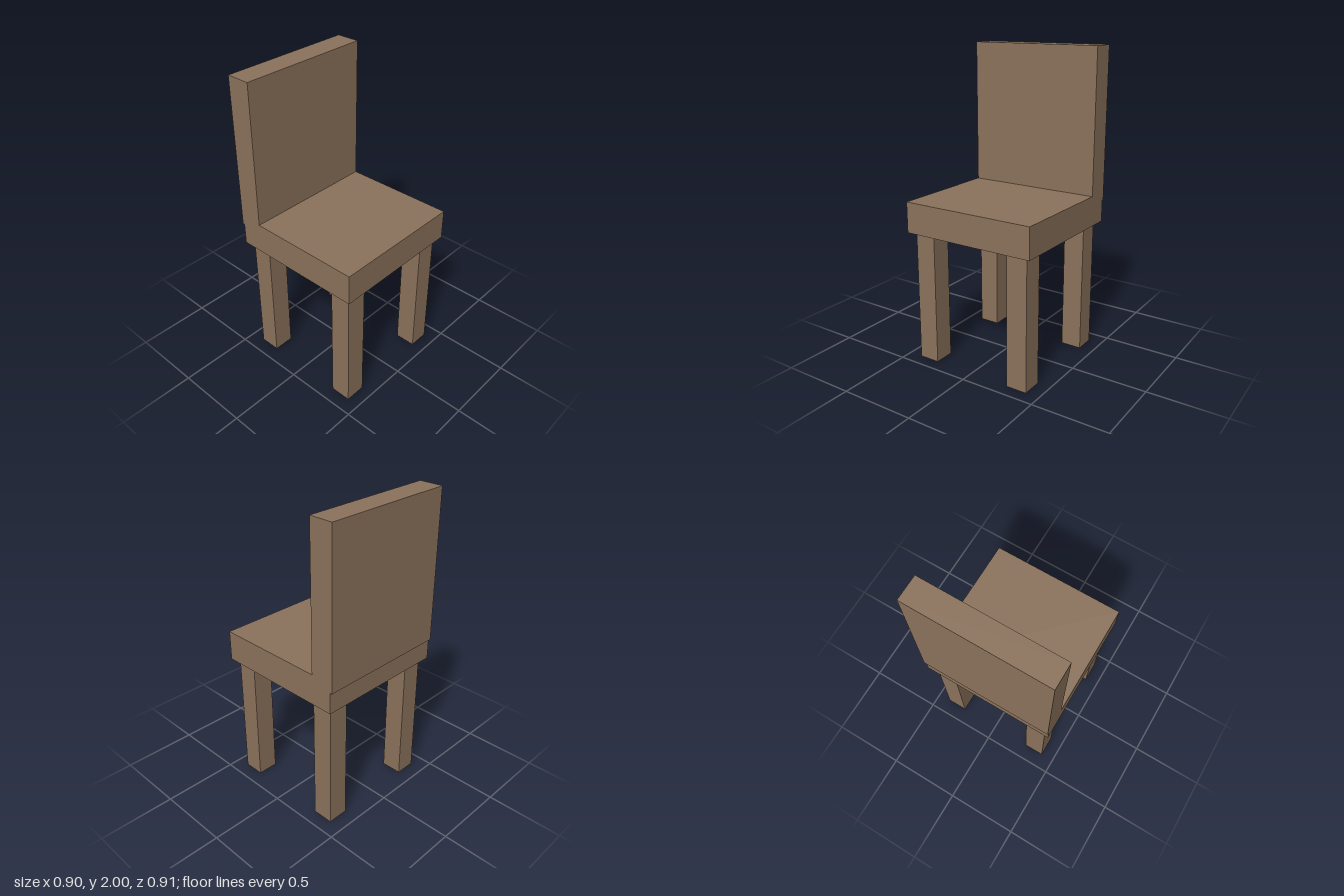
import * as THREE from 'three';

export function createModel() {
  const model = new THREE.Group();
  model.name = 'chair';

  const wood = new THREE.MeshStandardMaterial({ color: 0x8c735c });
  wood.name = 'brown wood';

  // Box given by its lower and upper corners
  function addBox(name, [x0, y0, z0], [x1, y1, z1]) {
    const mesh = new THREE.Mesh(new THREE.BoxGeometry(x1 - x0, y1 - y0, z1 - z0), wood);
    mesh.position.set((x0 + x1) / 2, (y0 + y1) / 2, (z0 + z1) / 2);
    mesh.name = name;
    model.add(mesh);
  }

  // Seat slab, with the backrest overhanging its rear edge slightly
  addBox('seat', [-0.449, 0.864, -0.441], [0.449, 1.064, 0.454]);
  addBox('backrest', [-0.449, 1.004, -0.454], [0.449, 2, -0.295]);

  // Four square legs
  for (const [side, x] of [['Left', 0.34], ['Right', -0.34]]) {
    for (const [end, z] of [['front', 0.347], ['back', -0.334]]) {
      addBox(`${end}${side}Leg`, [x - 0.069, 0, z - 0.069], [x + 0.069, 0.864, z + 0.069]);
    }
  }

  return model;
}
